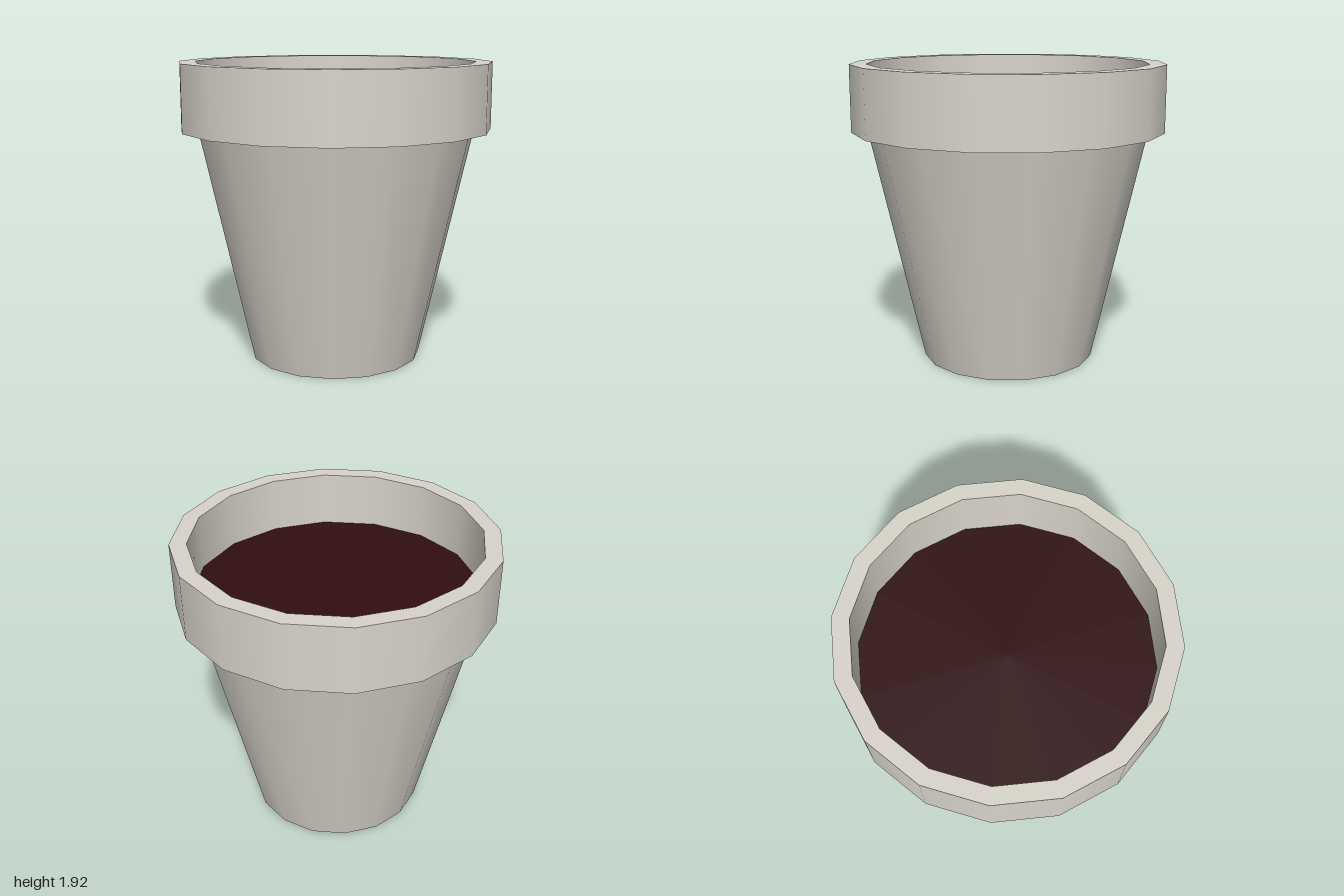
import * as THREE from 'three';
import { mergeGeometries } from 'three/addons/utils/BufferGeometryUtils.js';

const SIDES = 16;

// Turned surface: smooth around the axis, with a sharp edge at every profile point
function turned(profile) {
  const pts = profile.map(([r, y]) => new THREE.Vector2(r, y));
  const bands = pts.slice(1).map((p, i) => new THREE.LatheGeometry([pts[i], p], SIDES));
  return mergeGeometries(bands);
}

export function createModel() {
  const clay = new THREE.MeshStandardMaterial({ color: 0xd8d4ca });
  clay.name = 'pale clay';
  const earth = new THREE.MeshStandardMaterial({ color: 0x300e10 });
  earth.name = 'dark soil';

  const group = new THREE.Group();
  group.name = 'flowerPot';
  const add = (name, geometry, material) => {
    const mesh = new THREE.Mesh(geometry, material);
    mesh.name = name;
    group.add(mesh);
    return mesh;
  };

  // Tapered body with a closed base
  add('body', turned([[0, 0], [0.56, 0], [0.895, 1.5]]), clay);

  // Thick collar: underside, outer wall, top lip, inner wall
  add('rim', turned([[0.895, 1.5], [1, 1.5], [1, 1.925], [0.895, 1.925], [0.895, 1.5]]), clay);

  // Soil surface sunk below the lip
  const soil = add('soil', new THREE.CircleGeometry(0.895, SIDES), earth);
  soil.rotation.x = -Math.PI / 2;
  soil.position.y = 1.575;

  return group;
}
